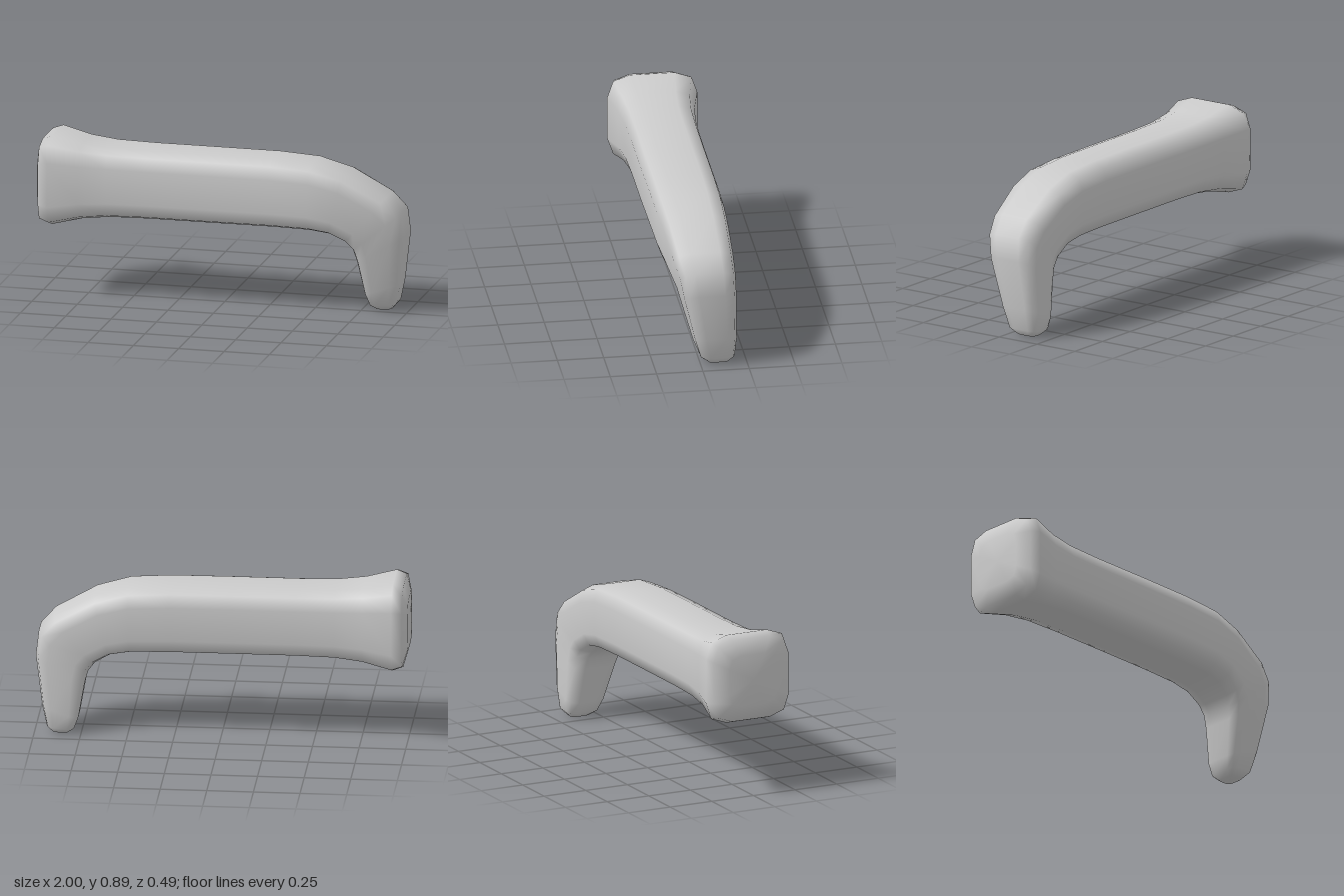
import * as THREE from 'three';

// Unit cross-section: a square whose corners are rounded by three points each [z, up]
const K = 0.5, C = 0.87;
const PROFILE = [];
for (const [c, s] of [[1, 0], [0, 1], [-1, 0], [0, -1]]) {
  for (const [a, b] of [[1, K], [C, C], [K, 1]]) PROFILE.push([a * c - b * s, a * s + b * c]);
}

// Straight, upright section of the bar
const AXIS_Y = 0.643;
const upright = (x, r) => [x, AXIS_Y + r, x, AXIS_Y - r, r, -r];

// Each section: outer x, y, inner x, y, front z, back z
const SECTIONS = [
  // flared butt
  upright(-1, 0.14), upright(-0.975, 0.225), upright(-0.92, 0.243),
  upright(-0.76, 0.206), upright(-0.61, 0.19),
  // straight grip
  upright(-0.4, 0.186), upright(-0.05, 0.186),
  [0.28, 0.828, 0.28, 0.457, 0.183, -0.187],
  // bend
  [0.5, 0.815, 0.49, 0.452, 0.179, -0.187],
  [0.68, 0.765, 0.6, 0.435, 0.163, -0.187],
  [0.9, 0.645, 0.68, 0.39, 0.134, -0.188],
  [0.98, 0.56, 0.715, 0.345, 0.11, -0.189],
  [0.995, 0.43, 0.733, 0.28, 0.088, -0.191],
  // tapering hook
  [0.96, 0.16, 0.765, 0.09, 0.028, -0.195],
  [0.935, 0.04, 0.787, 0.027, -0.004, -0.185],
  [0.905, 0.004, 0.82, 0, -0.045, -0.153],
];

// Skin the sections and close both ends
function loft(sections) {
  const pos = [], index = [], n = PROFILE.length, last = sections.length - 1;
  for (const [ox, oy, ix, iy, zf, zb] of sections) {
    for (const [z, up] of PROFILE) {
      const t = (1 + up) / 2;
      pos.push(ix + (ox - ix) * t, iy + (oy - iy) * t, (zf + zb) / 2 + z * (zf - zb) / 2);
    }
  }
  for (const s of [0, last]) {
    const [ox, oy, ix, iy, zf, zb] = sections[s];
    pos.push((ox + ix) / 2, (oy + iy) / 2, (zf + zb) / 2);
  }
  const startCentre = sections.length * n;
  for (let j = 0; j < n; j++) {
    const k = (j + 1) % n;
    for (let i = 0; i < last; i++) {
      const a = i * n + j, b = i * n + k;
      index.push(a, a + n, b, b, a + n, b + n);
    }
    index.push(startCentre, j, k);
    index.push(startCentre + 1, last * n + k, last * n + j);
  }
  const geo = new THREE.BufferGeometry();
  geo.setAttribute('position', new THREE.Float32BufferAttribute(pos, 3));
  geo.setIndex(index);
  geo.computeVertexNormals();
  return geo;
}

export function createModel() {
  const group = new THREE.Group();
  group.name = 'hookedHandle';
  const bar = new THREE.Mesh(loft(SECTIONS), new THREE.MeshStandardMaterial({ color: 0xcccccc }));
  bar.name = 'handleBody';
  group.add(bar);
  return group;
}
